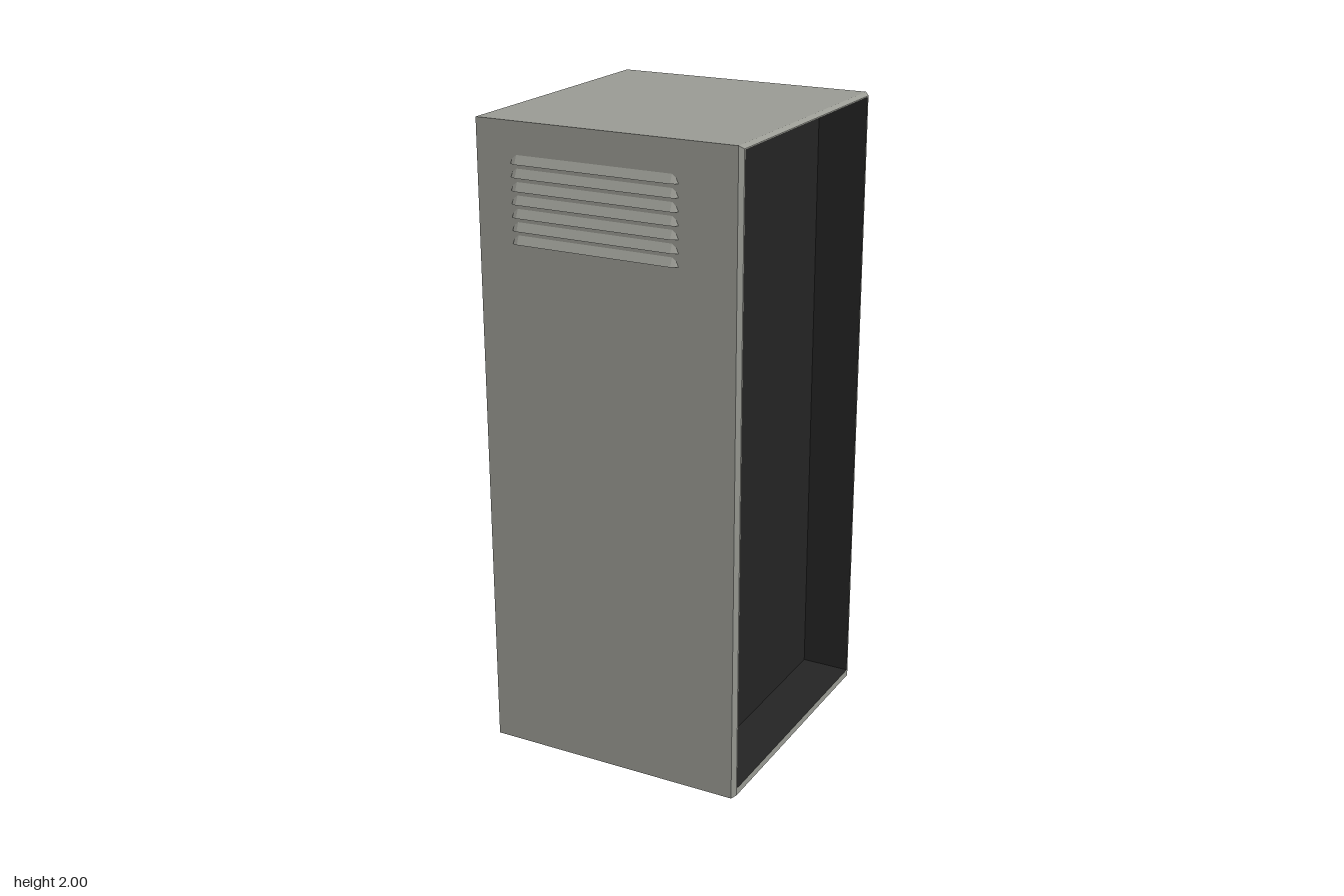
import * as THREE from 'three';

// Flat-shaded geometry from a list of quads (each four corner arrays)
function quadGeometry(quads) {
  const pos = [];
  for (const [a, b, c, d] of quads) pos.push(...a, ...b, ...c, ...a, ...c, ...d);
  const g = new THREE.BufferGeometry();
  g.setAttribute('position', new THREE.Float32BufferAttribute(pos, 3));
  g.computeVertexNormals();
  return g;
}

// Rectangular loop at a given x, counter-clockwise seen from +x
const loop = (x, y0, y1, z) => [[x, y0, -z], [x, y1, -z], [x, y1, z], [x, y0, z]];

// Quads joining consecutive loops
function bridge(loops) {
  const quads = [];
  for (let k = 0; k < loops.length - 1; k++) {
    const a = loops[k], b = loops[k + 1];
    for (let i = 0; i < 4; i++) {
      const j = (i + 1) % 4;
      quads.push([a[i], a[j], b[j], b[i]]);
    }
  }
  return quads;
}

// Louvre: triangular hood with tapered ends, lying along x on a +z wall
function louvreGeometry(half, height, depth) {
  const taper = [[0, 0], [0.007, 0.6], [0.02, 1]];
  const stations = [
    ...taper.map(([d, s]) => [-half + d, s]),
    ...taper.slice().reverse().map(([d, s]) => [half - d, s]),
  ];
  const sections = stations.map(([x, s]) => ({
    wall: [x, 0, 0], out: [x, 0, depth * s], top: [x, height * s, 0],
  }));
  const quads = [];
  for (let i = 0; i < sections.length - 1; i++) {
    const a = sections[i], b = sections[i + 1];
    quads.push([a.out, b.out, b.top, a.top], [a.wall, b.wall, b.out, a.out]);
  }
  return quadGeometry(quads);
}

export function createModel() {
  const group = new THREE.Group();
  const grey = new THREE.MeshStandardMaterial({ color: 0x9b9c95 });
  grey.name = 'grey metal';
  const black = new THREE.MeshStandardMaterial({ color: 0x242424 });
  black.name = 'dark interior';

  const X = 0.423, Z = 0.437;
  const back = loop(-X, 0, 2, Z);
  const mouth = loop(X, 0.032, 1.987, 0.42);
  const inner = loop(0.265, 0.032, 1.987, 0.42);

  // Outer casing with a bevelled rim around the open side
  const casing = new THREE.Mesh(quadGeometry([
    [...back].reverse(),
    ...bridge([back, loop(0.41, 0, 2, Z), loop(X, 0.009, 1.991, Z - 0.01), mouth]),
  ]), grey);
  casing.name = 'casing';
  group.add(casing);

  // Shallow dark recess
  const recess = new THREE.Mesh(quadGeometry([...bridge([mouth, inner]), inner]), black);
  recess.name = 'recess';
  group.add(recess);

  // Vent louvres on front and back
  const louvre = louvreGeometry(0.27, 0.026, 0.012);
  for (const side of [1, -1]) {
    const vent = new THREE.Group();
    vent.name = side > 0 ? 'frontVent' : 'backVent';
    for (let i = 0; i < 7; i++) {
      const slat = new THREE.Mesh(louvre, grey);
      slat.name = 'louvre';
      slat.position.y = 1.643 + i * 0.039;
      vent.add(slat);
    }
    vent.position.set(-0.04, 0, side * Z);
    if (side < 0) vent.rotation.y = Math.PI;
    group.add(vent);
  }
  return group;
}
